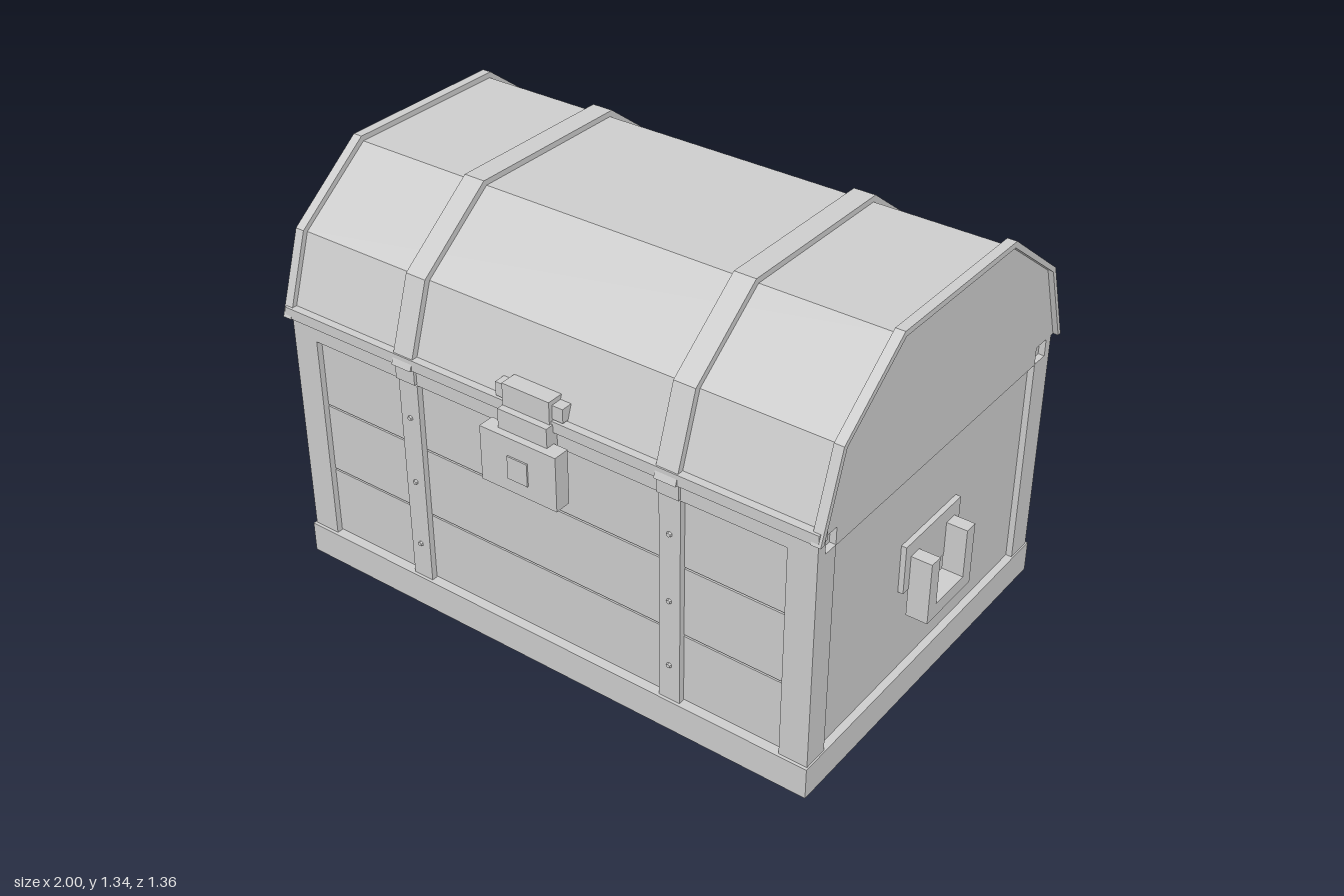
import * as THREE from 'three';

// Lid cross-sections as [z, y] points, front bottom to back bottom
const OUTER = [[0.625, 0.873], [0.537, 1.135], [0.27, 1.338], [-0.315, 1.338], [-0.585, 1.135], [-0.675, 0.873]];
const INNER = [[0.608, 0.873], [0.522, 1.126], [0.263, 1.32], [-0.309, 1.32], [-0.572, 1.126], [-0.66, 0.873]];

export function createModel() {
  const chest = new THREE.Group();
  chest.name = 'chest';
  const grey = new THREE.MeshStandardMaterial({ color: 0xcccccc, flatShading: true });
  grey.name = 'plain grey';

  const add = (name, geometry) => {
    const mesh = new THREE.Mesh(geometry, grey);
    mesh.name = name;
    chest.add(mesh);
    return mesh;
  };

  // Box given by its extents on each axis
  const box = (name, x0, x1, y0, y1, z0, z1) =>
    add(name, new THREE.BoxGeometry(x1 - x0, y1 - y0, z1 - z0)
      .translate((x0 + x1) / 2, (y0 + y1) / 2, (z0 + z1) / 2));

  // Extrude a [z, y] outline along x
  const slice = (name, points, x0, x1) => {
    const shape = new THREE.Shape(points.map(([z, y]) => new THREE.Vector2(-z, y)));
    const geometry = new THREE.ExtrudeGeometry(shape, { depth: x1 - x0, bevelEnabled: false });
    return add(name, geometry.rotateY(Math.PI / 2).translate(x0, 0, 0));
  };

  // Body: recessed core, plinth, top rails and corner posts
  box('bodyCore', -0.915, 0.915, 0.01, 0.872, -0.63, 0.578);
  box('plinth', -0.94, 0.94, 0, 0.105, -0.657, 0.615);
  box('frontRail', -0.935, 0.935, 0.815, 0.873, 0.57, 0.605);
  box('backRail', -0.935, 0.935, 0.815, 0.873, -0.65, -0.62);
  for (const s of [-1, 1]) {
    const a = Math.min(s * 0.9, s * 0.935), b = Math.max(s * 0.9, s * 0.935);
    box('sideRail', a, b, 0.813, 0.873, -0.56, 0.52);
    const p = Math.min(s * 0.842, s * 0.935), q = Math.max(s * 0.842, s * 0.935);
    box('frontPost', p, q, 0.1, 0.815, 0.52, 0.605);
    box('backPost', p, q, 0.1, 0.815, -0.65, -0.56);
  }

  // Front planks with narrow seams
  for (let i = 0; i < 3; i++) {
    const y = 0.105 + i * 0.237;
    box('frontPlank', -0.842, 0.842, y + 0.003, y + 0.234, 0.57, 0.585);
  }

  // Straps around the body and lid, with rivets at the front
  for (const x of [-0.473, 0.468]) {
    box('frontStrap', x - 0.036, x + 0.036, 0.1, 0.82, 0.57, 0.605);
    box('backStrap', x - 0.036, x + 0.036, 0.1, 0.82, -0.65, -0.62);
    box('frontStrapPad', x - 0.036, x + 0.036, 0.82, 0.875, 0.59, 0.615);
    box('backStrapPad', x - 0.036, x + 0.036, 0.82, 0.875, -0.657, -0.64);
    for (const y of [0.23, 0.46, 0.69]) {
      add('rivet', new THREE.CylinderGeometry(0.007, 0.009, 0.008, 6)
        .rotateX(Math.PI / 2).translate(x, y, 0.608));
    }
    const strap = OUTER.map(([z, y]) => [z + Math.sign(z) * 0.004, y]);
    slice('lidStrap', strap, x - 0.036, x + 0.036);
  }

  // Lid with a raised rim at each end and a front lip
  slice('lid', INNER, -0.936, 0.936);
  const rim = [...OUTER, ...[...INNER].reverse()];
  slice('leftLidRim', rim, 0.922, 0.953);
  slice('rightLidRim', rim, -0.953, -0.922);
  box('lidLip', -0.945, 0.945, 0.873, 0.908, 0.58, 0.622);

  // Lock: hinge tabs, hasp, padlock box and key plate
  box('lockBacking', -0.09, 0.085, 0.715, 0.87, 0.6, 0.617);
  box('hingeTabs', -0.122, 0.117, 0.912, 0.957, 0.575, 0.617);
  box('hingeBlock', -0.087, 0.08, 0.9, 0.972, 0.575, 0.63);
  box('hasp', -0.09, 0.085, 0.82, 0.898, 0.6, 0.65);
  box('lockBox', -0.138, 0.133, 0.655, 0.835, 0.62, 0.674);
  box('keyPlate', -0.038, 0.033, 0.7, 0.775, 0.67, 0.679);

  // Side handles: mounting plate and U-shaped grip
  const grip = [[0.1, 0.515], [0.055, 0.515], [0.055, 0.35], [-0.097, 0.35],
    [-0.097, 0.515], [-0.142, 0.515], [-0.142, 0.305], [0.1, 0.305]];
  for (const s of [-1, 1]) {
    box('handlePlate', s > 0 ? 0.91 : -0.932, s > 0 ? 0.932 : -0.91, 0.4, 0.563, -0.172, 0.13);
    slice('handleGrip', grip, s > 0 ? 0.93 : -1, s > 0 ? 1 : -0.93);
  }

  return chest;
}
